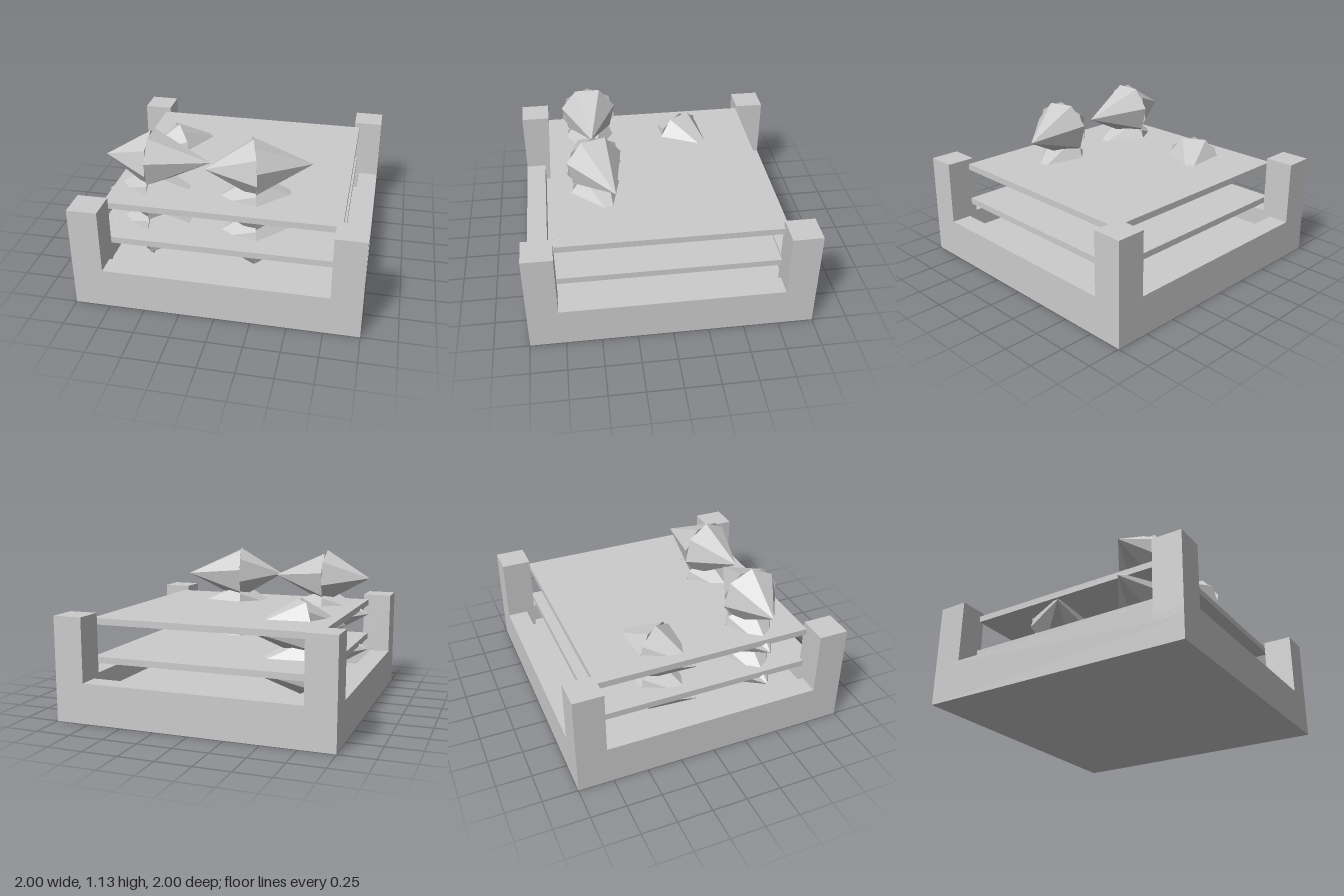
import * as THREE from 'three';

export function createModel() {
  const model = new THREE.Group();
  const material = new THREE.MeshStandardMaterial({ color: 0xcccccc, flatShading: true });

  const add = (parent, name, geometry, x = 0, y = 0, z = 0) => {
    const mesh = new THREE.Mesh(geometry, material);
    mesh.name = name;
    mesh.position.set(x, y, z);
    parent.add(mesh);
    return mesh;
  };
  // Box given by its size, its bottom height and its centre in plan
  const box = (name, w, h, d, x, bottom, z) =>
    add(model, name, new THREE.BoxGeometry(w, h, d), x, bottom + h / 2, z);

  // Tray: floor slab with a raised rim around it
  const FLOOR = 0.15, RIM = 0.29, INNER = 0.85;
  box('trayFloor', 2, FLOOR, 2, 0, 0, 0);
  const rimShape = new THREE.Shape([[-1, -1], [1, -1], [1, 1], [-1, 1]].map(p => new THREE.Vector2(...p)));
  rimShape.holes.push(new THREE.Path(
    [[-INNER, -INNER], [-INNER, INNER], [INNER, INNER], [INNER, -INNER]].map(p => new THREE.Vector2(...p))));
  const rim = new THREE.ExtrudeGeometry(rimShape, { depth: RIM - FLOOR, bevelEnabled: false });
  rim.rotateX(-Math.PI / 2);
  add(model, 'trayRim', rim, 0, FLOOR, 0);

  // Corner posts
  const POST = 0.213;
  for (const sx of [-1, 1]) for (const sz of [-1, 1])
    box('cornerPost', POST, 0.75 - FLOOR, POST, sx * (1 - POST / 2), FLOOR, sz * (1 - POST / 2));

  // Shelves held between the posts
  for (const bottom of [0.388, 0.666]) box('shelf', 1.65, 0.046, 1.574, 0, bottom, 0);

  // Crystal: two seven-sided cones back to back, the right one longer
  const cone = (length, side) => {
    const g = new THREE.ConeGeometry(0.21, length, 7);
    g.rotateY(Math.PI / 2);
    g.rotateZ(-side * Math.PI / 2);
    g.translate(side * length / 2, 0, 0);
    return g;
  };
  const shortCone = cone(0.336, -1), longCone = cone(0.42, 1);

  // Stacks of crystals, each turned a little further
  const stacks = [
    { x: -0.555, z: 0.465, count: 3 },
    { x: 0.17, z: 0.465, count: 3 },
    { x: -0.555, z: -0.258, count: 2 },
  ];
  stacks.forEach(({ x, z, count }, i) => {
    for (let level = 0; level < count; level++) {
      const crystal = new THREE.Group();
      crystal.name = 'crystal';
      crystal.position.set(x, 0.364 + level * 0.279, z);
      crystal.rotation.y = i * 0.3;
      add(crystal, 'crystalShortEnd', shortCone);
      add(crystal, 'crystalLongEnd', longCone);
      model.add(crystal);
    }
  });

  return model;
}
